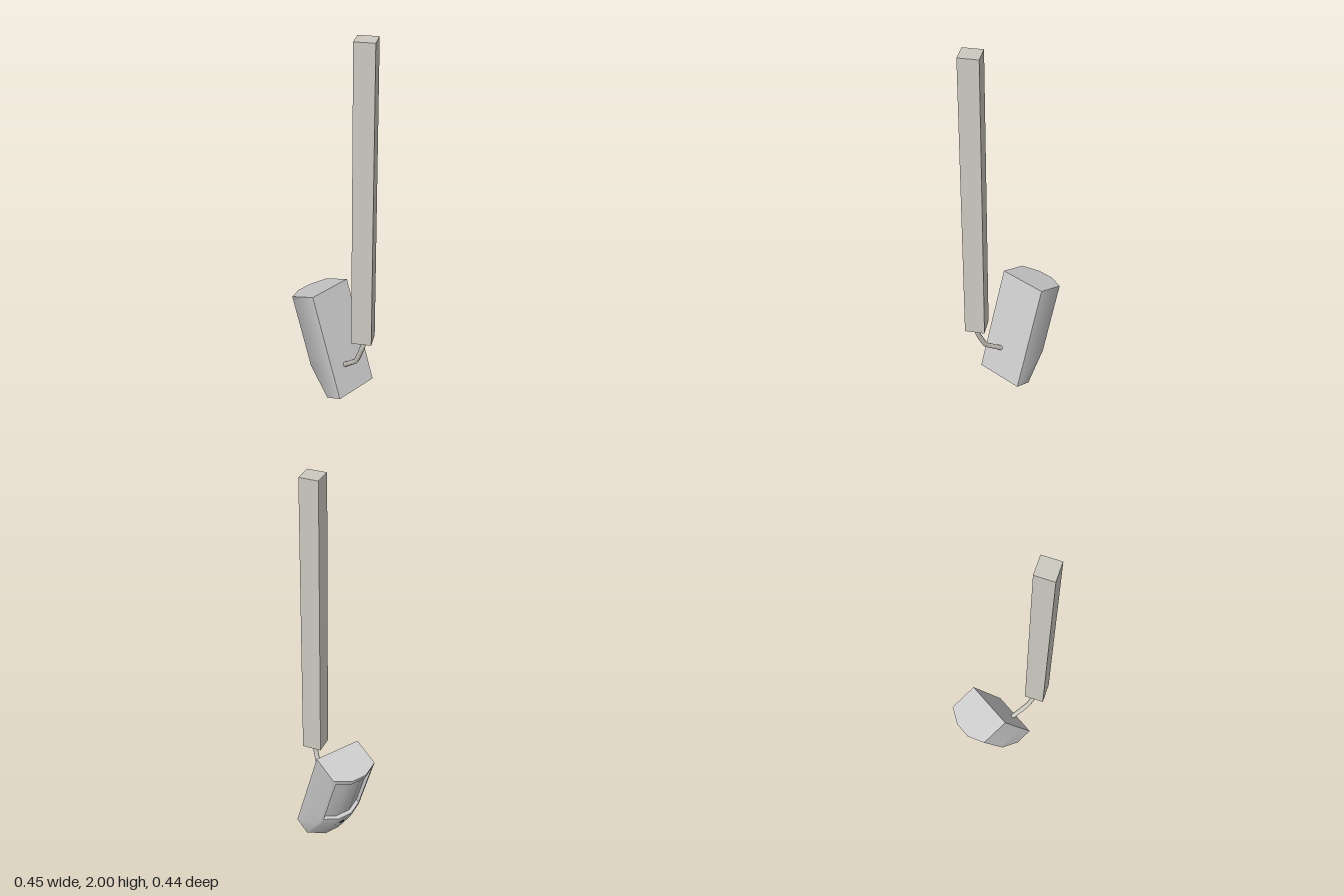
import * as THREE from 'three';
import { toCreasedNormals } from 'three/addons/utils/BufferGeometryUtils.js';

const grey = new THREE.MeshStandardMaterial({ color: 0xcccccc });
const postMat = new THREE.MeshStandardMaterial({ color: 0xccc9c0 });
const darkMat = new THREE.MeshStandardMaterial({ color: 0x222222 });

// Housing dimensions: x across, y up the back plate, z outwards
const COLS = [-0.13, -0.115, -0.043, 0.043, 0.115, 0.13];
const ROWS = [0, 0.18, 0.215, 0.54, 0.567];
const WIN = { c0: 1, c1: 4, r0: 2, r1: 3, depth: 0.022 };

// Depth of the faceted front, tapering to a chin below y = 0.18
function frontDepth(x, y) {
  const t = Math.min(y / 0.18, 1);
  const side = THREE.MathUtils.lerp(0.095, 0.155, t);
  const mid = THREE.MathUtils.lerp(0.147, 0.198, t);
  const k = THREE.MathUtils.clamp((0.13 - Math.abs(x)) / 0.087, 0, 1);
  return THREE.MathUtils.lerp(side, mid, k);
}

const front = (c, r, inset = 0) =>
  [COLS[c], ROWS[r], frontDepth(COLS[c], ROWS[r]) - inset];

// Collects counter-clockwise polygons as triangle fans
function polygons(crease) {
  const pos = [];
  return {
    add(...p) {
      for (let i = 1; i < p.length - 1; i++) pos.push(...p[0], ...p[i], ...p[i + 1]);
    },
    build() {
      const g = new THREE.BufferGeometry();
      g.setAttribute('position', new THREE.Float32BufferAttribute(pos, 3));
      return toCreasedNormals(g, crease);
    },
  };
}

function named(name, geometry, material = grey) {
  const m = new THREE.Mesh(geometry, material);
  m.name = name;
  return m;
}

// Closed shell with an opening for the window
function housingGeometry() {
  const shell = polygons(1.2);
  const ring = (r) => [
    [COLS[0], ROWS[r], 0],
    ...COLS.map((x, c) => front(c, r)),
    [COLS[5], ROWS[r], 0],
  ];
  for (let r = 0; r < ROWS.length - 1; r++) {
    const a = ring(r), b = ring(r + 1);
    for (let i = 0; i < a.length; i++) {
      const j = (i + 1) % a.length;
      const c = i - 1;
      if (r >= WIN.r0 && r < WIN.r1 && c >= WIN.c0 && c < WIN.c1) continue;
      shell.add(a[i], a[j], b[j], b[i]);
    }
  }
  shell.add(...ring(ROWS.length - 1));
  shell.add(...ring(0).reverse());
  return shell.build();
}

// Walls between the housing front and the recessed lens
function recessGeometry() {
  const walls = polygons(0.6);
  const { c0, c1, r0, r1, depth } = WIN;
  for (let c = c0; c < c1; c++) {
    walls.add(front(c, r0), front(c + 1, r0), front(c + 1, r0, depth), front(c, r0, depth));
    walls.add(front(c + 1, r1), front(c, r1), front(c, r1, depth), front(c + 1, r1, depth));
  }
  walls.add(front(c0, r1), front(c0, r0), front(c0, r0, depth), front(c0, r1, depth));
  walls.add(front(c1, r0), front(c1, r1), front(c1, r1, depth), front(c1, r0, depth));
  return walls.build();
}

function lensGeometry() {
  const lens = polygons(1.2);
  const { c0, c1, r0, r1, depth } = WIN;
  for (let c = c0; c < c1; c++) {
    lens.add(front(c, r0, depth), front(c + 1, r0, depth), front(c + 1, r1, depth), front(c, r1, depth));
  }
  return lens.build();
}

export function createModel() {
  const model = new THREE.Group();
  model.name = 'motionSensorOnPost';

  // Square post
  const post = named('post', new THREE.BoxGeometry(0.102, 1.575, 0.102), postMat);
  post.position.set(0.174, 1.2125, 0.171);
  model.add(post);

  // Bent arm from the post to the back plate
  const path = new THREE.CatmullRomCurve3([
    [0.174, 0.435, 0.171], [0.173, 0.38, 0.17], [0.133, 0.27, 0.136], [0.06, 0.193, 0.068],
  ].map((p) => new THREE.Vector3(...p)), false, 'catmullrom', 0.2);
  model.add(named('bracketArm', new THREE.TubeGeometry(path, 12, 0.013, 8), postMat));

  // Sensor head, turned away from the post and tilted downwards
  const head = new THREE.Group();
  head.name = 'sensorHead';
  head.rotation.order = 'YXZ';
  head.rotation.set(0.337, Math.atan2(-0.859, -0.512), 0);
  head.position.set(0.124, 0.05, 0.067);
  head.add(named('housing', housingGeometry()));
  head.add(named('windowRecess', recessGeometry()));
  head.add(named('lens', lensGeometry()));

  // Indicator on the chin
  const indicator = named('indicator', new THREE.BoxGeometry(0.022, 0.02, 0.006), darkMat);
  indicator.position.set(0, 0.15, frontDepth(0, 0.15));
  indicator.rotation.x = Math.atan2(0.051, 0.18);
  head.add(indicator);
  model.add(head);

  return model;
}
